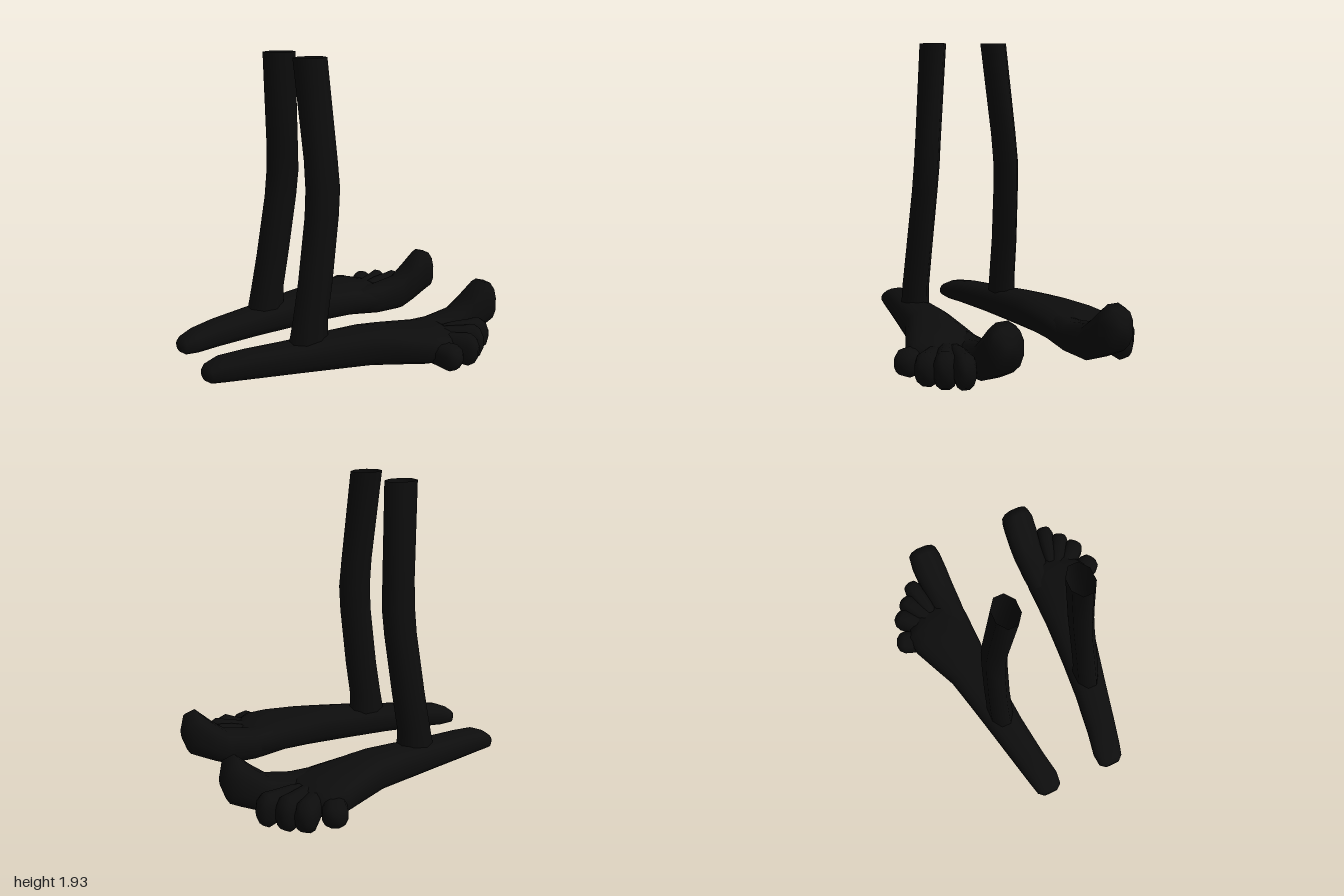
import * as THREE from 'three';

const material = new THREE.MeshStandardMaterial({ color: 0x0d0d0d, side: THREE.DoubleSide });

// Skin a run of rings [x, y, z, halfU, halfV]; u x v points along the run.
// side = -1 mirrors the part in z; power < 1 squares the cross-section.
function loft(name, rings, u, v, side, { segments = 12, power = 0.8, capStart = true, capEnd = true } = {}) {
  const pos = [], index = [];
  const tri = (a, b, c) => (side > 0 ? index.push(a, b, c) : index.push(a, c, b));
  const bend = (n) => Math.sign(n) * Math.pow(Math.abs(n), power);
  for (const [x, y, z, hu, hv] of rings) {
    for (let i = 0; i < segments; i++) {
      const a = ((i + 0.5) / segments) * Math.PI * 2;
      const p = bend(Math.cos(a)) * hu, q = bend(Math.sin(a)) * hv;
      pos.push(x + u[0] * p + v[0] * q, y + u[1] * p + v[1] * q, side * (z + u[2] * p + v[2] * q));
    }
  }
  for (let r = 0; r < rings.length - 1; r++) {
    for (let i = 0; i < segments; i++) {
      const a = r * segments + i, b = r * segments + ((i + 1) % segments);
      tri(a, b, b + segments);
      tri(a, b + segments, a + segments);
    }
  }
  const cap = (r, flip) => {
    const c = pos.length / 3, [x, y, z] = rings[r];
    pos.push(x, y, side * z);
    for (let i = 0; i < segments; i++) {
      const a = r * segments + i, b = r * segments + ((i + 1) % segments);
      if (flip) tri(c, b, a); else tri(c, a, b);
    }
  };
  if (capStart) cap(0, true);
  if (capEnd) cap(rings.length - 1, false);
  const geometry = new THREE.BufferGeometry();
  geometry.setAttribute('position', new THREE.Float32BufferAttribute(pos, 3));
  geometry.setIndex(index);
  geometry.computeVertexNormals();
  const mesh = new THREE.Mesh(geometry, material);
  mesh.name = name;
  return mesh;
}

const X = [1, 0, 0], Y = [0, 1, 0], Z = [0, 0, 1];

// Turn [x, yMin, yMax, zMin, zMax] extents into a ring across x
const section = ([x, y0, y1, z0, z1]) => [x, (y0 + y1) / 2, (z0 + z1) / 2, (y1 - y0) / 2, (z1 - z0) / 2];

const soleSections = [
  [-1, 0.07, 0.13, 0.19, 0.29],
  [-0.97, 0.052, 0.155, 0.153, 0.325],
  [-0.89, 0.048, 0.19, 0.145, 0.347],
  [-0.73, 0.048, 0.215, 0.175, 0.385],
  [-0.45, 0.048, 0.237, 0.212, 0.45],
  [-0.2, 0.046, 0.262, 0.232, 0.51],
  [0, 0.045, 0.275, 0.243, 0.56],
  [0.13, 0.042, 0.272, 0.25, 0.62],
  [0.32, 0.036, 0.258, 0.252, 0.705],
  [0.43, 0.034, 0.245, 0.252, 0.73],
  [0.53, 0.04, 0.228, 0.26, 0.66],
  [0.6, 0.07, 0.19, 0.29, 0.55],
];

const bigToeSections = [
  [0.3, 0.05, 0.235, 0.27, 0.46],
  [0.53, 0.028, 0.235, 0.255, 0.47],
  [0.71, 0.032, 0.272, 0.254, 0.475],
  [0.8, 0.07, 0.345, 0.254, 0.488],
  [0.9, 0.12, 0.44, 0.26, 0.492],
  [0.965, 0.155, 0.42, 0.27, 0.482],
  [1, 0.25, 0.33, 0.335, 0.42],
];

// Small toes: tip x, mid height, tip z, heading, half width, half height
const smallToes = [
  [0.845, 0.135, 0.555, 0.22, 0.066, 0.11],
  [0.745, 0.125, 0.65, 0.5, 0.069, 0.116],
  [0.645, 0.118, 0.74, 0.8, 0.072, 0.105],
  [0.465, 0.115, 0.803, 1.15, 0.08, 0.085],
];

// Distance back from the tip, width factor, height factor
const toeProfile = [
  [0.36, 0.55, 0.55],
  [0.24, 0.85, 0.8],
  [0.13, 0.95, 0.9],
  [0.06, 1, 1],
  [0.02, 0.8, 0.75],
  [0, 0.4, 0.35],
];

function smallToe(name, [x, y, z, heading, w, h], side) {
  const c = Math.cos(heading), s = Math.sin(heading);
  const rings = toeProfile.map(([d, fw, fh]) => [x - c * d, y + d * 0.05, z - s * d, h * fh, w * fw]);
  return loft(name, rings, Y, [-s, 0, c], side);
}

// Lower leg: open at the top, sunk into the foot
const legRings = [
  [-0.35, 0.15, 0.335, 0.085, 0.13],
  [-0.347, 0.23, 0.335, 0.085, 0.128],
  [-0.335, 0.36, 0.333, 0.084, 0.113],
  [-0.295, 0.6, 0.325, 0.081, 0.111],
  [-0.24, 1, 0.305, 0.078, 0.109],
  [-0.227, 1.17, 0.295, 0.078, 0.11],
  [-0.233, 1.35, 0.28, 0.078, 0.106],
  [-0.272, 1.95, 0.222, 0.081, 0.107],
];

function footAndLeg(name, side) {
  const group = new THREE.Group();
  group.name = name;
  group.add(
    loft('foot', soleSections.map(section), Y, Z, side, { segments: 16, power: 0.78 }),
    loft('bigToe', bigToeSections.map(section), Y, Z, side),
    loft('leg', legRings, Z, X, side, { segments: 8, power: 1, capStart: false, capEnd: false }),
  );
  smallToes.forEach((toe, i) => group.add(smallToe(`toe${i + 2}`, toe, side)));
  return group;
}

export function createModel() {
  const model = new THREE.Group();
  model.name = 'pairOfFeet';
  model.add(footAndLeg('frontFoot', 1), footAndLeg('backFoot', -1));
  return model;
}
